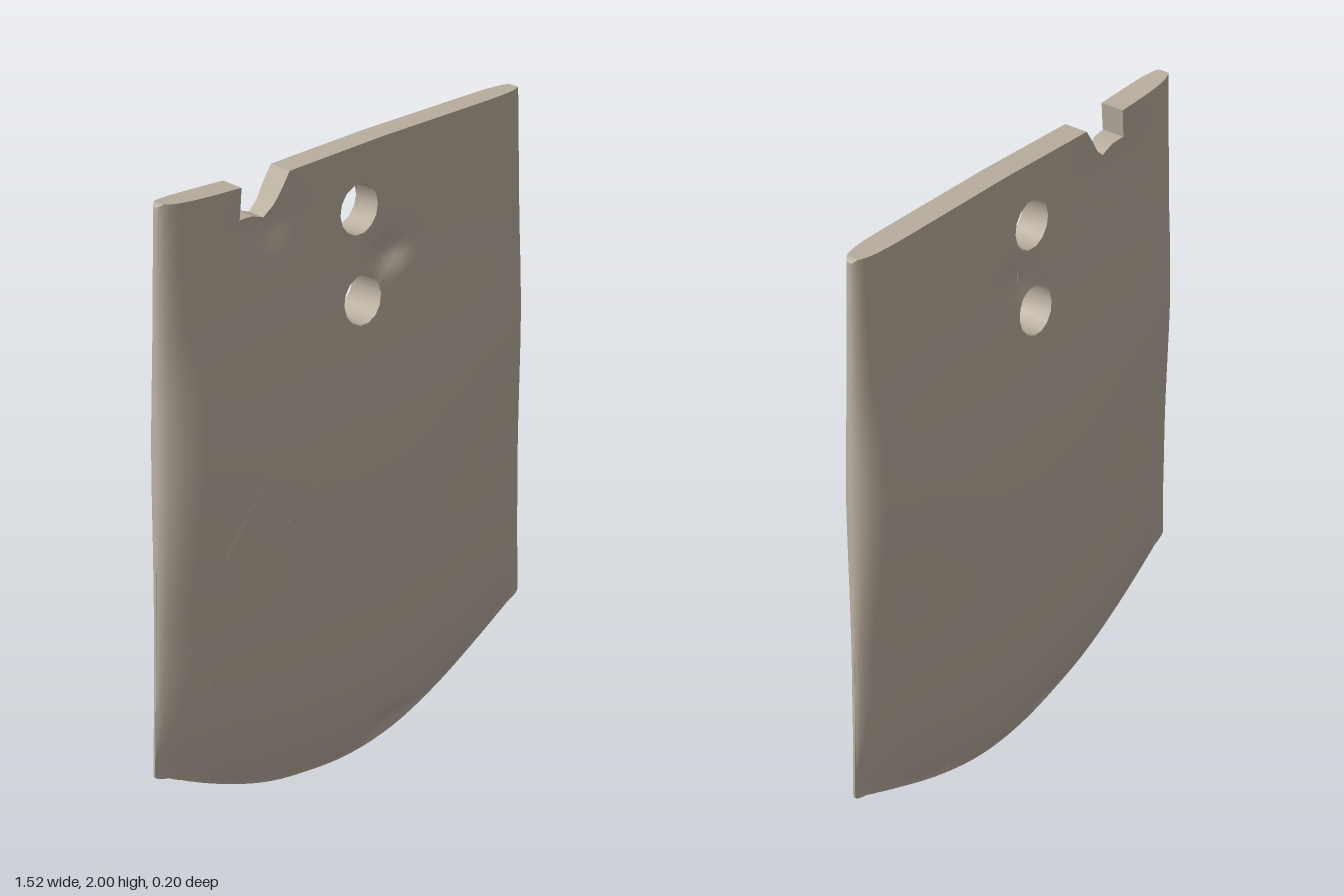
import * as THREE from 'three';
import { toCreasedNormals } from 'three/addons/utils/BufferGeometryUtils.js';

// piecewise interpolation through [position, value] pairs, with eased tangents
function curve(pts) {
  const slope = pts.map((p, i) => {
    const a = pts[Math.max(i - 1, 0)], b = pts[Math.min(i + 1, pts.length - 1)];
    return (b[1] - a[1]) / (b[0] - a[0]);
  });
  return (t) => {
    if (t <= pts[0][0]) return pts[0][1];
    for (let i = 1; i < pts.length; i++) {
      if (t > pts[i][0]) continue;
      const [a, va] = pts[i - 1], [b, vb] = pts[i], w = b - a, u = (t - a) / w;
      return va * (1 + 2 * u) * (1 - u) ** 2 + vb * u * u * (3 - 2 * u)
        + w * (slope[i - 1] * u * (1 - u) ** 2 - slope[i] * u * u * (1 - u));
    }
    return pts[pts.length - 1][1];
  };
}

// blade measurements
const halfWidth = curve([[0.3, 0.76], [0.6, 0.74], [1, 0.717], [1.4, 0.697], [2, 0.663]]);
const bottomEdge = curve([[-0.76, 0.31], [-0.55, 0.175], [-0.36, 0.08], [-0.2, 0.033], [0, 0.002],
  [0.2, 0.018], [0.4, 0.085], [0.6, 0.185], [0.76, 0.275]]);
const thickness = curve([[0.3, 0.105], [0.8, 0.101], [1.2, 0.09], [1.4, 0.074], [1.6, 0.053], [1.8, 0.043], [2, 0.036]]);

// hollows knocked into each face: x, y, x radius, y radius, depth
const frontDents = [[0.11, 1.66, 0.07, 0.045, 0.025], [-0.32, 1.86, 0.08, 0.06, 0.015], [0.16, 0.07, 0.11, 0.05, 0.018]];
const backDents = [[0.06, 1.67, 0.06, 0.05, 0.015], [-0.36, 1.84, 0.1, 0.1, 0.014],
  [-0.1, 0.05, 0.07, 0.03, 0.012], [0.38, 0.11, 0.06, 0.03, 0.012]];

// half thickness at a point of the face
function depth(x, y, dents) {
  const s = Math.min(Math.abs(x) / halfWidth(y), 1);
  const n = 2 + 12 * THREE.MathUtils.smoothstep(y, 0.7, 2);
  const d = Math.max(y - bottomEdge(x), 0);
  let z = thickness(y) * Math.sqrt(1 - s ** n) * (1 - Math.exp(-d / 0.2));
  for (const [cx, cy, rx, ry, k] of dents) z -= k * Math.exp(-(((x - cx) / rx) ** 2) - ((y - cy) / ry) ** 2);
  return Math.max(z, 0.004);
}

// the outline is meshed in (angle, height) so points gather near the side edges
const toFlat = ([x, y]) => new THREE.Vector2(Math.asin(THREE.MathUtils.clamp(x / halfWidth(y), -1, 1)), y);
const toPoint = (p, side) => {
  const x = halfWidth(p.y) * Math.sin(p.x);
  return [x, p.y, side * depth(x, p.y, side > 0 ? frontDents : backDents)];
};

const MAX_EDGE = 0.05;
const middle = (a, b) => new THREE.Vector2((a.x + b.x) / 2, (a.y + b.y) / 2);

// halve the longest edge until every edge is short
function splitTriangle(a, b, c, out) {
  const ab = a.distanceTo(b), bc = b.distanceTo(c), ca = c.distanceTo(a);
  const longest = Math.max(ab, bc, ca);
  if (longest <= MAX_EDGE) { out.push([a, b, c]); return; }
  if (bc === longest) [a, b, c] = [b, c, a];
  else if (ca === longest) [a, b, c] = [c, a, b];
  const m = middle(a, b);
  splitTriangle(a, m, c, out);
  splitTriangle(m, b, c, out);
}

function splitEdge(a, b, out) {
  if (a.distanceTo(b) <= MAX_EDGE) { out.push([a, b]); return; }
  const m = middle(a, b);
  splitEdge(a, m, out);
  splitEdge(m, b, out);
}

function bladeGeometry() {
  // counter-clockwise outline: curved cutting edge, right side, top, chipped notch
  const outline = [];
  for (let i = 0; i <= 32; i++) {
    const x = -0.76 + (1.52 * i) / 32;
    outline.push([x, bottomEdge(x)]);
  }
  outline.push([0.663, 1.99], [0.65, 2], [0.1, 1.997], [-0.245, 1.987], [-0.3, 1.905], [-0.33, 1.88],
    [-0.375, 1.897], [-0.42, 1.9], [-0.41, 1.985], [-0.65, 2], [-0.663, 1.99]);

  // two drilled holes, clockwise
  const holes = [1.815, 1.555].map((cy) => Array.from({ length: 14 }, (_, i) => {
    const a = (-i / 14) * Math.PI * 2;
    return toFlat([0.07 * Math.cos(a), cy + 0.072 * Math.sin(a)]);
  }));
  const contour = outline.map(toFlat);
  const flat = [contour, ...holes].flat();

  const triangles = [];
  for (const face of THREE.ShapeUtils.triangulateShape(contour, holes)) {
    let [a, b, c] = face.map((i) => flat[i]);
    if ((b.x - a.x) * (c.y - a.y) - (b.y - a.y) * (c.x - a.x) < 0) [b, c] = [c, b];
    splitTriangle(a, b, c, triangles);
  }

  const positions = [];
  for (const [a, b, c] of triangles) {
    positions.push(...toPoint(a, 1), ...toPoint(b, 1), ...toPoint(c, 1));
    positions.push(...toPoint(a, -1), ...toPoint(c, -1), ...toPoint(b, -1));
  }
  // rim and hole walls
  for (const loop of [contour, ...holes]) {
    const edges = [];
    loop.forEach((p, i) => splitEdge(p, loop[(i + 1) % loop.length], edges));
    for (const [a, b] of edges) {
      const aF = toPoint(a, 1), aB = toPoint(a, -1), bF = toPoint(b, 1), bB = toPoint(b, -1);
      positions.push(...aF, ...aB, ...bB, ...aF, ...bB, ...bF);
    }
  }

  const geometry = new THREE.BufferGeometry();
  geometry.setAttribute('position', new THREE.Float32BufferAttribute(positions, 3));
  // enlarged while smoothing so that close points stay apart
  geometry.scale(20, 20, 20);
  const smooth = toCreasedNormals(geometry, 0.8);
  smooth.scale(0.05, 0.05, 0.05);
  return smooth;
}

export function createModel() {
  const stone = new THREE.MeshStandardMaterial({ color: 0xb8ad9e });
  stone.name = 'stone';
  const blade = new THREE.Mesh(bladeGeometry(), stone);
  blade.name = 'axeBlade';
  const group = new THREE.Group();
  group.name = 'stoneAxe';
  group.add(blade);
  return group;
}
